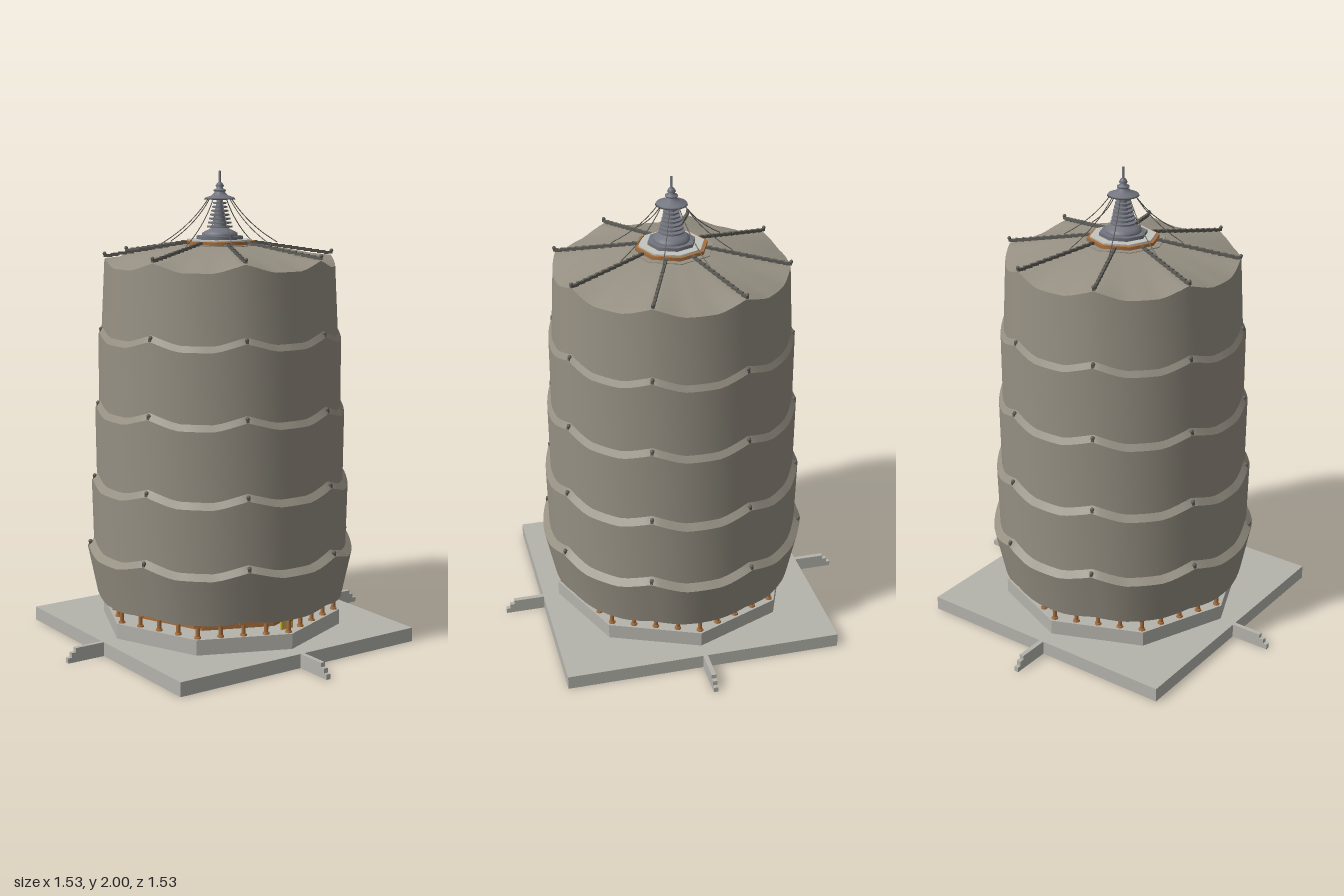
import * as THREE from 'three';

const SIDES = 8;
const STEP = (Math.PI * 2) / SIDES;
const mat = (color, extra = {}) => new THREE.MeshStandardMaterial({ color, side: THREE.DoubleSide, ...extra });
const stone = mat(0xb4b3ac, { flatShading: true });
const tile = mat(0x969083);
const ridgeTile = mat(0x605e58);
const wood = mat(0xa8703f);
const paleStone = mat(0xc4c4be);
const metal = mat(0x73757f);
const gold = mat(0xd0b04a);

function add(parent, name, geometry, material, x = 0, y = 0, z = 0) {
  const mesh = new THREE.Mesh(geometry, material);
  mesh.name = name;
  mesh.position.set(x, y, z);
  parent.add(mesh);
  return mesh;
}

// Upturn of the eaves: 0 along each side, 1 at the eight corners
function upturn(angle) {
  const a = ((angle % STEP) + STEP) % STEP;
  const d = Math.abs(a - STEP / 2);
  return Math.max(0, 1 - d / 0.24);
}

// Round band through [radius, y, corner lift] points
function band(points) {
  const n = 96;
  const geo = new THREE.LatheGeometry(points.map(([r, y]) => new THREE.Vector2(r, y)), n);
  const pos = geo.attributes.position;
  for (let i = 0; i <= n; i++) {
    const lift = upturn((i / n) * Math.PI * 2);
    for (let j = 0; j < points.length; j++) {
      const k = i * points.length + j;
      pos.setY(k, points[j][1] + points[j][2] * lift);
    }
  }
  geo.computeVertexNormals();
  return geo;
}

// Octagonal prism with corners on the axes
const octagon = (r, h) => new THREE.CylinderGeometry(r, r, h, SIDES);

// Point at a corner direction
const corner = (i, r, y) => {
  const a = (i + 0.5) * STEP;
  return new THREE.Vector3(Math.sin(a) * r, y, Math.cos(a) * r);
};

function buildBase(root) {
  const base = new THREE.Group();
  base.name = 'base';
  root.add(base);
  add(base, 'terrace', new THREE.BoxGeometry(1.19, 0.06, 1.19), stone, 0, 0.03, 0);
  add(base, 'plinth', octagon(0.525, 0.065), stone, 0, 0.0925, 0);
  // Narrow stepped stairs on all four sides
  const s = new THREE.Shape();
  [[0.59, 0], [0.765, 0], [0.765, 0.022], [0.748, 0.022], [0.748, 0.042],
    [0.728, 0.042], [0.728, 0.06], [0.59, 0.06]].forEach(([x, y], i) => (i ? s.lineTo(x, y) : s.moveTo(x, y)));
  const stair = new THREE.ExtrudeGeometry(s, { depth: 0.02, bevelEnabled: false }).translate(0, 0, -0.01);
  for (let i = 0; i < 4; i++) add(base, 'stair', stair, stone).rotation.y = (i * Math.PI) / 2;
}

function buildGallery(root) {
  const gallery = new THREE.Group();
  gallery.name = 'gallery';
  root.add(gallery);
  add(gallery, 'innerWall', new THREE.CylinderGeometry(0.4, 0.4, 0.08, SIDES, 1, true), mat(0xa8703f, { flatShading: true }), 0, 0.165, 0);
  const R = 0.5;
  const column = new THREE.CylinderGeometry(0.009, 0.009, 0.08, 10);
  const foot = new THREE.CylinderGeometry(0.013, 0.015, 0.008, 10);
  const bracket = new THREE.BoxGeometry(0.034, 0.012, 0.02);
  const length = 2 * R * Math.sin(STEP / 2);
  const beam = new THREE.BoxGeometry(length, 0.01, 0.01);
  for (let i = 0; i < SIDES; i++) {
    const a = i * STEP, b = a + STEP;
    const p = new THREE.Vector3(Math.sin(a) * R, 0, Math.cos(a) * R);
    const q = new THREE.Vector3(Math.sin(b) * R, 0, Math.cos(b) * R);
    const mid = p.clone().lerp(q, 0.5);
    add(gallery, 'beam', beam, wood, mid.x, 0.185, mid.z).rotation.y = a + STEP / 2;
    for (let k = 0; k < 4; k++) {
      const c = p.clone().lerp(q, k / 4);
      add(gallery, 'column', column, wood, c.x, 0.165, c.z);
      add(gallery, 'columnFoot', foot, wood, c.x, 0.129, c.z);
      add(gallery, 'bracket', bracket, wood, c.x, 0.178, c.z).rotation.y = a + STEP / 2;
    }
  }
  add(gallery, 'plaque', new THREE.BoxGeometry(0.06, 0.05, 0.012), gold, 0, 0.162, 0.485);
}

function buildTiers(root) {
  // [bottom radius, bottom y, top radius, top y, bottom corner lift]
  const tiers = [
    [0.532, 0.188, 0.574, 0.385, 0.015],
    [0.546, 0.405, 0.552, 0.672, 0.035],
    [0.53, 0.695, 0.533, 0.985, 0.035],
    [0.516, 1.008, 0.516, 1.298, 0.035],
    [0.502, 1.32, 0.487, 1.608, 0.035],
  ];
  const tail = new THREE.SphereGeometry(0.009, 8, 6);
  tiers.forEach(([r0, y0, r1, y1, lift], t) => {
    const group = new THREE.Group();
    group.name = 'tier';
    root.add(group);
    add(group, 'tierWall', band([[r0, y0, lift], [r1, y1, 0.035]]), tile);
    const next = tiers[t + 1];
    if (!next) return;
    add(group, 'eaveLedge', band([[r1, y1, 0.035], [next[0] - 0.003, next[1] + 0.008, 0.035]]), tile);
    // Small ridge ends on the eave corners
    for (let i = 0; i < SIDES; i++) {
      const p = corner(i, r1 - 0.008, y1 + 0.05);
      add(group, 'ridgeEnd', tail, ridgeTile, p.x, p.y, p.z);
      const stub = add(group, 'ridgeStub', new THREE.BoxGeometry(0.012, 0.016, 0.035), ridgeTile, p.x * 0.98, p.y - 0.012, p.z * 0.98);
      stub.rotation.y = (i + 0.5) * STEP;
    }
  });
}

function buildRoof(root) {
  const roof = new THREE.Group();
  roof.name = 'roof';
  root.add(roof);
  add(roof, 'roofSurface', band([[0.487, 1.608, 0.035], [0.4, 1.638, 0.014], [0.3, 1.664, 0.008], [0.18, 1.692, 0], [0.08, 1.7, 0]]), tile);
  // Stepped corner ridges
  const n = 12;
  for (let i = 0; i < SIDES; i++) {
    for (let k = 0; k < n; k++) {
      const t = (k + 0.5) / n;
      const p = corner(i, 0.49 - 0.36 * t, 1.651 + 0.055 * t);
      add(roof, 'ridge', new THREE.BoxGeometry(0.011, 0.012, 0.036), ridgeTile, p.x, p.y, p.z).rotation.y = (i + 0.5) * STEP;
    }
    const end = corner(i, 0.49, 1.662);
    add(roof, 'ridgeEnd', new THREE.SphereGeometry(0.008, 8, 6), ridgeTile, end.x, end.y, end.z);
  }
  add(roof, 'crownStep', octagon(0.178, 0.012), tile, 0, 1.69, 0);
  add(roof, 'crownTrim', octagon(0.152, 0.02), wood, 0, 1.7, 0);
  add(roof, 'crownSlab', octagon(0.138, 0.024), paleStone, 0, 1.704, 0);
}

function buildSpire(root) {
  const spire = new THREE.Group();
  spire.name = 'spire';
  root.add(spire);
  const lathe = (pts) => new THREE.LatheGeometry(pts.map(([r, y]) => new THREE.Vector2(r, y)), 24);
  add(spire, 'spireFoot', octagon(0.1, 0.016), metal, 0, 1.722, 0);
  add(spire, 'spireBowl', lathe([[0.075, 1.73], [0.075, 1.742], [0.06, 1.75], [0.045, 1.757], [0.034, 1.765], [0, 1.765]]), metal);
  add(spire, 'mast', new THREE.CylinderGeometry(0.012, 0.03, 0.13, 16), metal, 0, 1.82, 0);
  // Diminishing rings
  for (let i = 0; i < 7; i++) {
    const r = 0.053 - i * 0.004;
    add(spire, 'ring', new THREE.CylinderGeometry(r, r, 0.007, 24), metal, 0, 1.768 + i * 0.0165, 0);
  }
  add(spire, 'canopy', lathe([[0, 1.878], [0.066, 1.882], [0.062, 1.889], [0.035, 1.898], [0.02, 1.912],
    [0.026, 1.917], [0.026, 1.922], [0.012, 1.928], [0.018, 1.938], [0.012, 1.949], [0.005, 1.955], [0.005, 2], [0, 2]]), metal);
  // Sagging chains from the canopy to the corner ridges
  for (let i = 0; i < SIDES; i++) {
    const curve = new THREE.QuadraticBezierCurve3(corner(i, 0.05, 1.885), corner(i, 0.12, 1.775), corner(i, 0.25, 1.7));
    add(spire, 'chain', new THREE.TubeGeometry(curve, 16, 0.002, 5), ridgeTile);
  }
}

export function createModel() {
  const root = new THREE.Group();
  root.name = 'pagoda';
  buildBase(root);
  buildGallery(root);
  buildTiers(root);
  buildRoof(root);
  buildSpire(root);
  return root;
}
